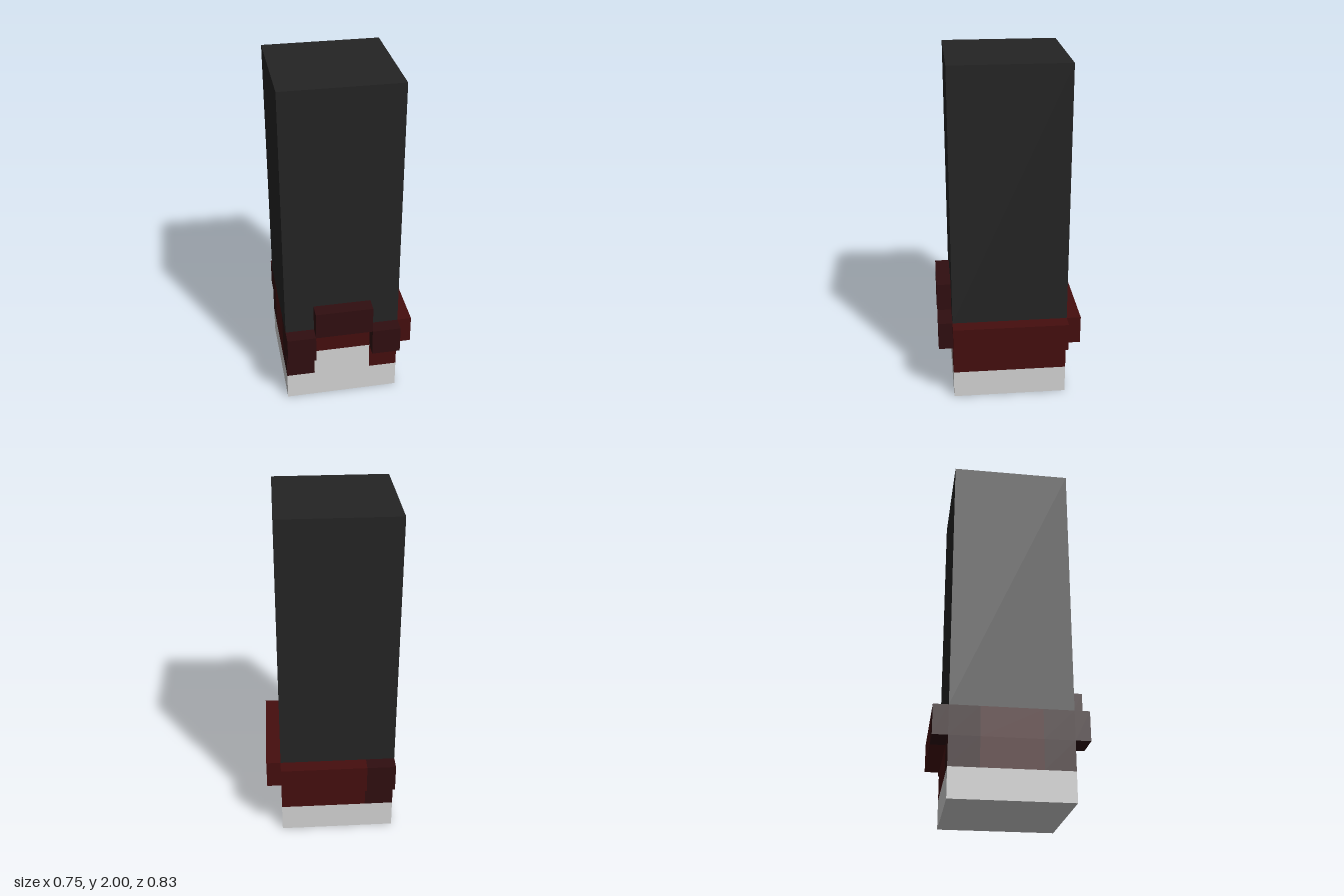
import * as THREE from 'three';

const mat = (name, color) => {
  const m = new THREE.MeshStandardMaterial({ color });
  m.name = name;
  return m;
};

export function createModel() {
  const model = new THREE.Group();
  model.name = 'bandedPillar';

  const black = mat('charcoal', 0x242424);
  const white = mat('paleGrey', 0xd4d4d4);
  const red = mat('deepRed', 0x450e0e);
  const dark = mat('darkRed', 0x300e10);

  // Box given by its ranges along each axis
  const box = (name, material, [x0, x1], [y0, y1], [z0, z1]) => {
    const geo = new THREE.BoxGeometry(x1 - x0, y1 - y0, z1 - z0);
    geo.translate((x0 + x1) / 2, (y0 + y1) / 2, (z0 + z1) / 2);
    const mesh = new THREE.Mesh(geo, material);
    mesh.name = name;
    model.add(mesh);
  };

  // Grid lines of the pillar
  const xs = [-0.375, -0.2083, 0.125, 0.2917];
  const zs = [-0.3333, -0.1667, 0.1667, 0.3333];
  const ys = [0, 0.1667, 0.3333, 0.5, 0.6667, 2];
  const fullX = [xs[0], xs[3]];
  const fullZ = [zs[0], zs[3]];
  const leftX = [xs[0], xs[1]];
  const midX = [xs[1], xs[2]];
  const rightX = [xs[2], xs[3]];

  // Pale base and dark shaft
  box('base', white, fullX, [ys[0], ys[1]], fullZ);
  box('shaft', black, fullX, [ys[3], ys[5]], fullZ);

  // Two flush coloured courses between base and shaft
  for (const [i, centre] of [[1, white], [2, red]]) {
    const y = [ys[i], ys[i + 1]];
    const front = [zs[2], zs[3]];
    const back = [zs[0], zs[1]];
    box('courseFrontCorner', dark, leftX, y, front);
    box('courseFrontCentre', centre, midX, y, front);
    box('courseFrontSide', red, rightX, y, front);
    box('courseMiddle', red, fullX, y, [zs[1], zs[2]]);
    box('courseBackCorner', dark, leftX, y, back);
    box('courseBack', red, [xs[1], xs[3]], y, back);
  }

  // Raised trim: front blocks, side rail, back rail
  const t = 0.0833;
  const railY = [ys[2], ys[3]];
  const frontZ = [zs[3], zs[3] + t];
  const backZ = [zs[0] - t, zs[0]];
  box('frontTrimRight', dark, leftX, railY, frontZ);
  box('frontTrimLeft', dark, rightX, railY, frontZ);
  box('frontTrimTop', dark, midX, [ys[3], ys[4]], frontZ);
  box('sideRail', red, [xs[3], xs[3] + t], railY, fullZ);
  box('backRailCorner', dark, leftX, railY, backZ);
  box('backRail', red, [xs[1], xs[3]], railY, backZ);

  return model;
}
